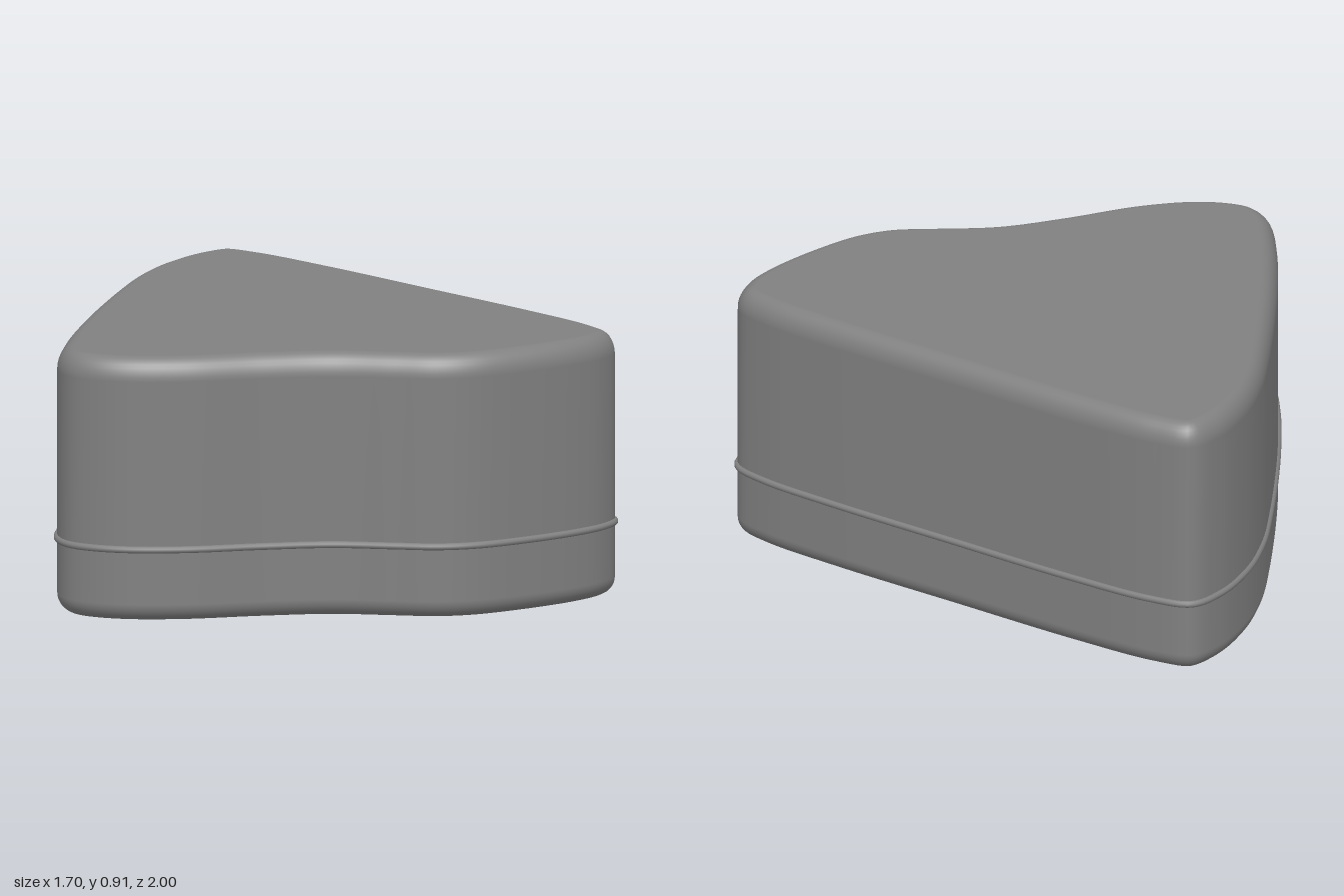
import * as THREE from 'three';

// Plan outline as (x, z), starting at the back corner and running down the left side
const OUTLINE = [
  [0.6, -0.988], [0.73, -0.967], [0.78, -0.83], [0.81, -0.5], [0.825, 0], [0.838, 0.5],
  [0.83, 0.8], [0.795, 0.93], [0.71, 0.975], [0.58, 0.988], [0.36, 0.965], [0.18, 0.92],
  [0.06, 0.85], [-0.04, 0.74], [-0.18, 0.585], [-0.37, 0.455], [-0.6, 0.32], [-0.75, 0.19],
  [-0.82, 0.08], [-0.841, -0.01], [-0.81, -0.1], [-0.69, -0.22], [-0.4, -0.45], [0, -0.73],
  [0.2, -0.855], [0.4, -0.945],
];
const SEGMENTS = 240;
const HEIGHT = 0.91;
const CENTRE = [0.3, 0]; // every outline point is visible from here

// Vertical section as [inset, y]: rounded bottom edge, straight wall, rounded top edge
function wallProfile() {
  const rows = [];
  const steps = 8;
  for (let i = 0; i <= steps; i++) {
    const a = (i / steps) * Math.PI / 2;
    rows.push([0.055 * (1 - Math.sin(a)), 0.06 * (1 - Math.cos(a))]);
  }
  for (let i = 0; i <= steps; i++) {
    const a = (i / steps) * Math.PI / 2;
    rows.push([0.06 * (1 - Math.cos(a)), HEIGHT - 0.08 * (1 - Math.sin(a))]);
  }
  return rows;
}

function bodyGeometry(curve) {
  const points = curve.getSpacedPoints(SEGMENTS).slice(0, SEGMENTS);
  const rows = wallProfile();
  const positions = [];
  const index = [];

  // Rings offset inward along the outline normal
  for (const [inset, y] of rows) {
    points.forEach((p, i) => {
      const before = points[(i + SEGMENTS - 1) % SEGMENTS];
      const after = points[(i + 1) % SEGMENTS];
      const t = after.clone().sub(before).normalize();
      positions.push(p.x - t.z * inset, y, p.z + t.x * inset);
    });
  }
  for (let r = 0; r < rows.length - 1; r++) {
    for (let i = 0; i < SEGMENTS; i++) {
      const j = (i + 1) % SEGMENTS;
      const a = r * SEGMENTS + i, b = r * SEGMENTS + j;
      index.push(a, a + SEGMENTS, b, b, a + SEGMENTS, b + SEGMENTS);
    }
  }

  // Flat bottom and top as fans
  const bottom = rows.length * SEGMENTS, top = bottom + 1;
  positions.push(CENTRE[0], 0, CENTRE[1], CENTRE[0], HEIGHT, CENTRE[1]);
  const last = (rows.length - 1) * SEGMENTS;
  for (let i = 0; i < SEGMENTS; i++) {
    const j = (i + 1) % SEGMENTS;
    index.push(bottom, i, j, top, last + j, last + i);
  }

  const geometry = new THREE.BufferGeometry();
  geometry.setAttribute('position', new THREE.Float32BufferAttribute(positions, 3));
  geometry.setIndex(index);
  geometry.computeVertexNormals();
  return geometry;
}

export function createModel() {
  const group = new THREE.Group();
  const grey = new THREE.MeshStandardMaterial({ color: 0x808080 });
  grey.name = 'mid grey';

  const curve = new THREE.CatmullRomCurve3(
    OUTLINE.map(([x, z]) => new THREE.Vector3(x, 0, z)), true, 'centripetal');

  // Rounded block
  const body = new THREE.Mesh(bodyGeometry(curve), grey);
  body.name = 'body';
  group.add(body);

  // Thin raised bead around the wall
  const bead = new THREE.Mesh(new THREE.TubeGeometry(curve, SEGMENTS, 0.012, 10, true), grey);
  bead.name = 'seamBead';
  bead.position.y = 0.25;
  group.add(bead);

  return group;
}
